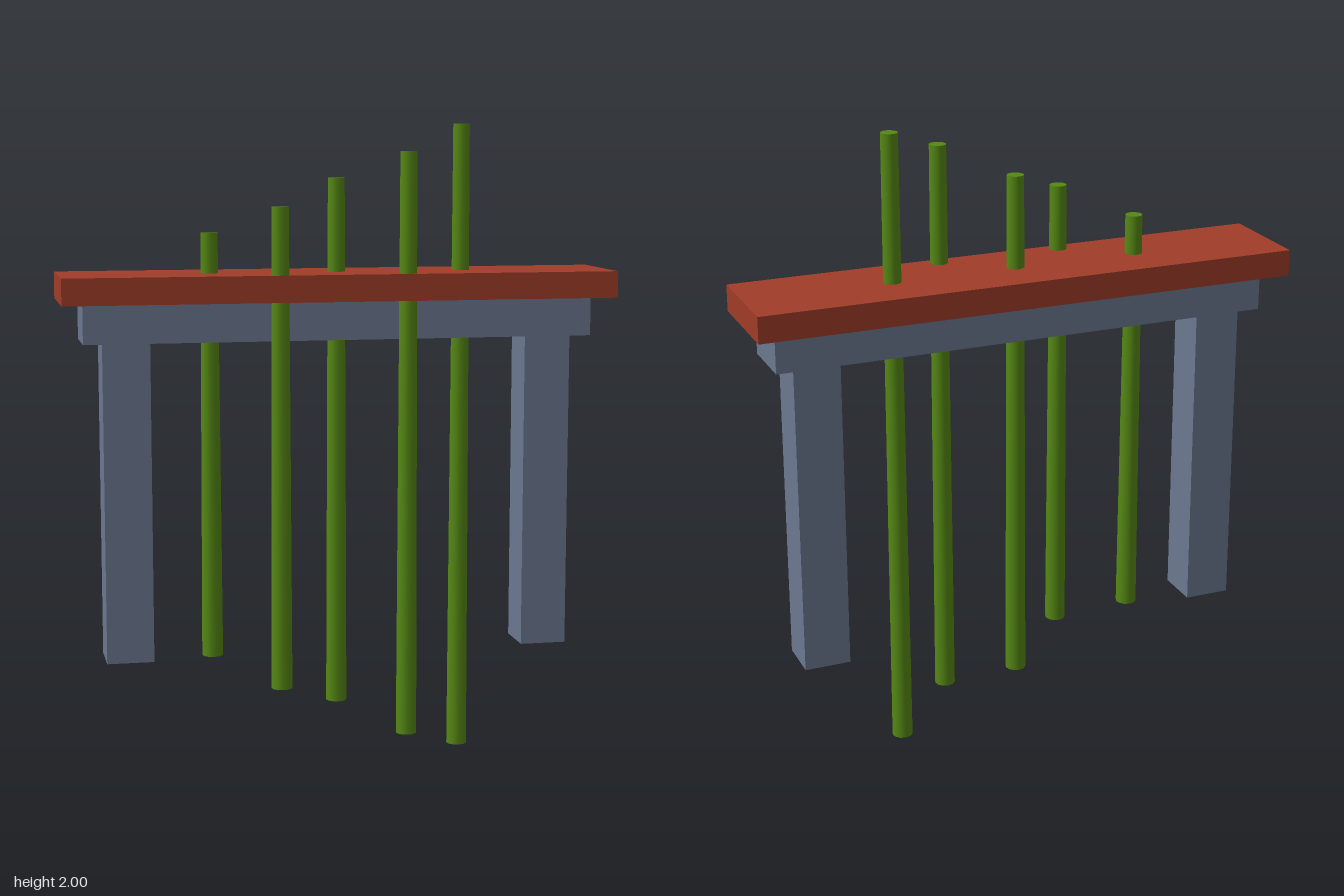
import * as THREE from 'three';

export function createModel() {
  const group = new THREE.Group();
  const stone = new THREE.MeshStandardMaterial({ name: 'slate stone', color: 0x6b7890 });
  const roof = new THREE.MeshStandardMaterial({ name: 'roof red', color: 0xa03c28 });
  const bamboo = new THREE.MeshStandardMaterial({ name: 'bamboo green', color: 0x558814 });

  const add = (name, geometry, material, x, y, z) => {
    const mesh = new THREE.Mesh(geometry, material);
    mesh.name = name;
    mesh.position.set(x, y, z);
    group.add(mesh);
  };

  // Gate posts, mirrored across x
  for (const side of [-1, 1]) {
    add(side > 0 ? 'leftPost' : 'rightPost', new THREE.BoxGeometry(0.147, 1, 0.147), stone, side * 0.667, 0.837, 0);
  }

  // Lintel beam and roof slab
  add('beam', new THREE.BoxGeometry(1.6, 0.123, 0.2), stone, 0, 1.3985, 0);
  add('roofSlab', new THREE.BoxGeometry(1.733, 0.083, 0.333), roof, 0, 1.5015, 0);

  // Tapered bamboo stalks, longer towards +x, alternating in depth
  for (let i = 0; i < 5; i++) {
    const length = 4 / 3 + i / 6;
    const stalk = new THREE.CylinderGeometry(0.0267, 0.0333, length, 12);
    add(`bambooStalk${i + 1}`, stalk, bamboo, -0.4 + i * 0.2, 1, i % 2 ? 0.133 : 0);
  }

  return group;
}
